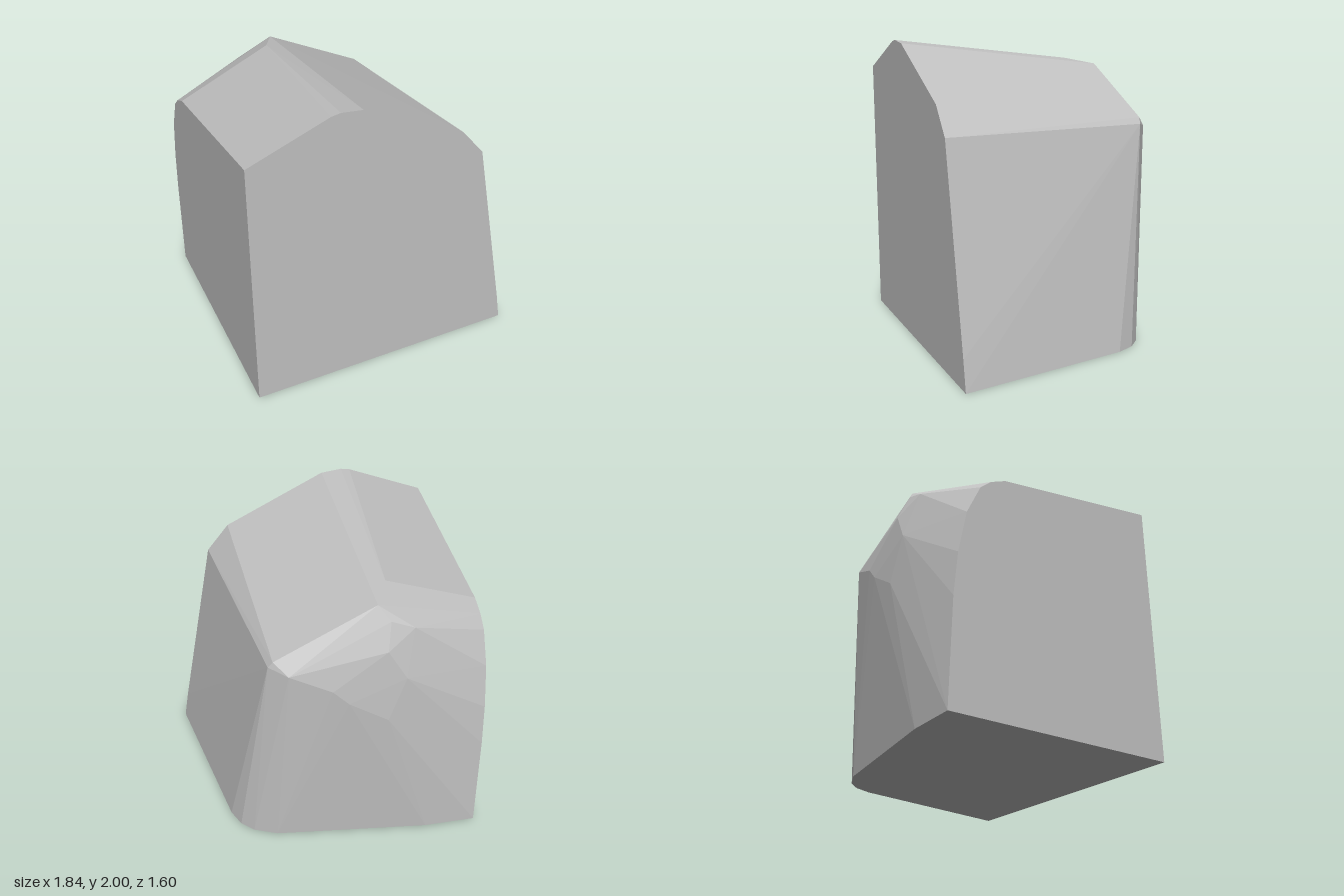
import * as THREE from 'three';
import { ConvexGeometry } from 'three/addons/geometries/ConvexGeometry.js';

export function createModel() {
  const group = new THREE.Group();
  group.name = 'boulder';

  const stone = new THREE.MeshStandardMaterial({ color: 0xc0c0c0 });
  stone.name = 'grey stone';

  // Flat cut front (x, y at z = 0.8)
  const front = [
    [-0.92, 0], [0.92, 0], [0.885, 0.2], [0.63, 1.48], [0.48, 1.66],
    [-0.2, 1.985], [-0.34, 2], [-0.4, 1.99], [-0.92, 1.785],
  ].map(([x, y]) => [x, y, 0.8]);

  // Flat cut side (z, y at x = -0.92)
  const side = [
    [-0.39, 1.6], [-0.5, 1.55], [-0.58, 1.48], [-0.68, 1.27], [-0.74, 0.98], [-0.77, 0.69], [-0.8, 0],
  ].map(([z, y]) => [-0.92, y, z]);

  // Footprint along the rounded back corner (x, z at y = 0)
  const base = [
    [-0.57, -0.785], [0.45, -0.62], [0.6, -0.55], [0.68, -0.47], [0.73, -0.35],
  ].map(([x, z]) => [x, 0, z]);

  // Worn crown and bulging back
  const crown = [
    [-0.2, 1.81, -0.63], [0.44, 1.5, -0.63], [0.47, 1.46, -0.62], [0.36, 1.43, -0.71],
    [-0.3, 1.85, -0.44], [-0.27, 1.72, -0.69], [-0.42, 1.66, -0.7],
    [-0.24, 1.55, -0.76], [0.1, 1.31, -0.765], [0, 1.21, -0.78],
    [-0.36, 1.35, -0.785], [-0.25, 1.05, -0.8],
  ];

  const points = [...front, ...side, ...base, ...crown].map((p) => new THREE.Vector3(...p));
  const rock = new THREE.Mesh(new ConvexGeometry(points), stone);
  rock.name = 'rock';
  group.add(rock);
  return group;
}
